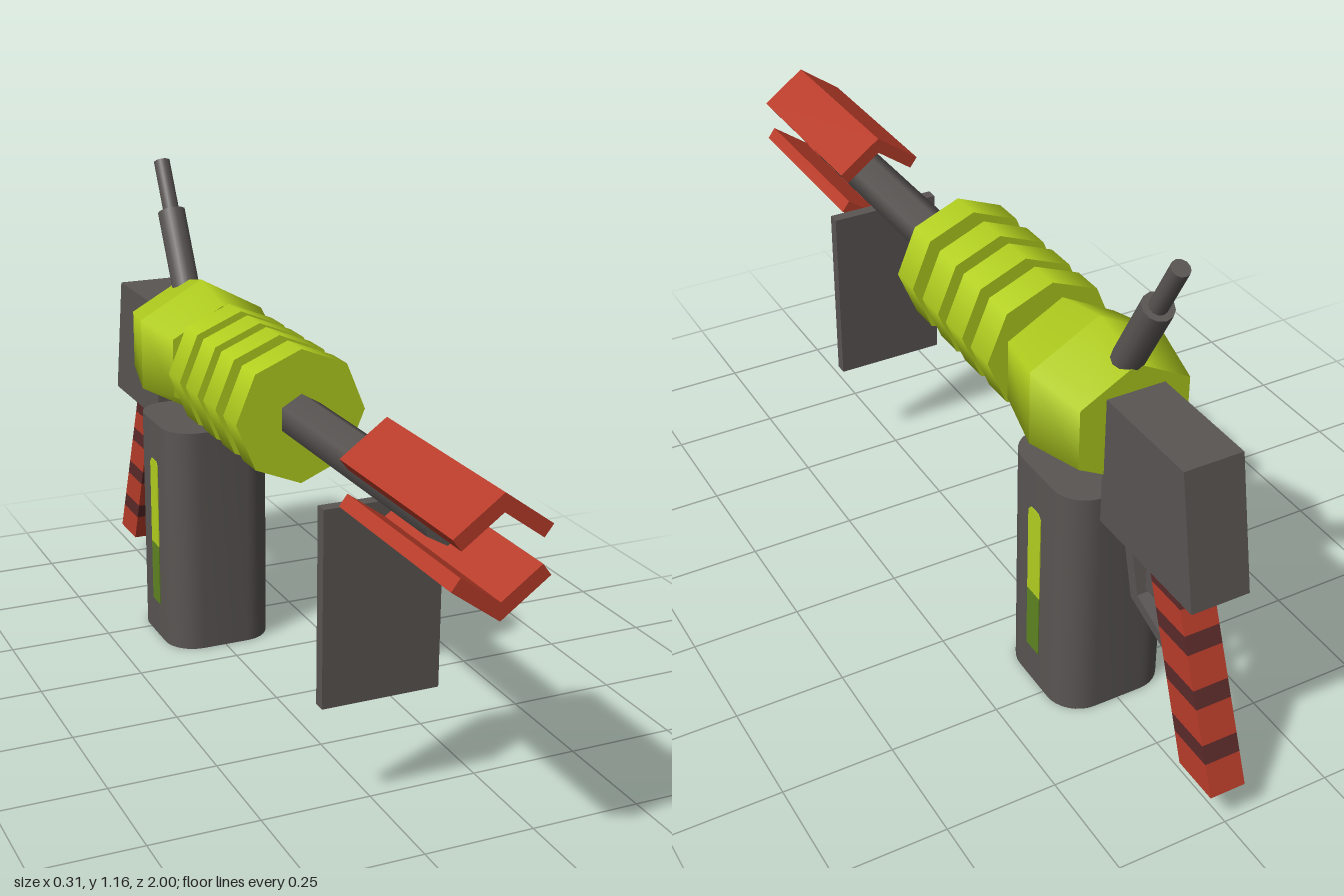
import * as THREE from 'three';
import { toCreasedNormals } from 'three/addons/utils/BufferGeometryUtils.js';

const AXIS_Y = 0.735; // height of the barrel axis

function makeMaterial(name, color) {
  const m = new THREE.MeshStandardMaterial({ color });
  m.name = name;
  return m;
}

export function createModel() {
  const model = new THREE.Group();
  model.name = 'pumpBlaster';
  const grey = makeMaterial('darkGrey', 0x595553);
  const lime = makeMaterial('lime', 0xb3d01f);
  const red = makeMaterial('red', 0xb83c2a);
  const maroon = makeMaterial('maroon', 0x5c2a2a);
  const green = makeMaterial('darkGreen', 0x5f8422);

  function add(parent, name, geometry, material) {
    const mesh = new THREE.Mesh(geometry, material);
    mesh.name = name;
    parent.add(mesh);
    return mesh;
  }
  function addGroup(name) {
    const g = new THREE.Group();
    g.name = name;
    model.add(g);
    return g;
  }
  // Prism along the barrel axis, from zBack to zFront
  function axial(rFront, rBack, zBack, zFront, sides) {
    return new THREE.CylinderGeometry(rFront, rBack, zFront - zBack, sides)
      .rotateX(Math.PI / 2).translate(0, AXIS_Y, (zFront + zBack) / 2);
  }
  const shapeOf = (pts) => new THREE.Shape(pts.map(([a, b]) => new THREE.Vector2(a, b)));
  // Side outline given as [z, y], extruded across x
  function sidePlate(pts, width) {
    return new THREE.ExtrudeGeometry(shapeOf(pts), { depth: width, bevelEnabled: false })
      .translate(0, 0, -width / 2).rotateY(-Math.PI / 2);
  }

  // Barrel, pump rings and bulging body
  add(model, 'barrel', axial(0.052, 0.052, -0.4, 0.8, 6), grey);
  const rings = addGroup('rings');
  for (const z of [0.098, -0.022, -0.132, -0.244]) {
    add(rings, 'ring', axial(0.152, 0.152, z - 0.037, z + 0.037, 8), lime);
  }
  const body = addGroup('body');
  add(body, 'bodyFront', axial(0.138, 0.17, -0.46, -0.32, 6), lime);
  add(body, 'bodyBack', axial(0.17, 0.138, -0.603, -0.46, 6), lime);
  body.scale.x = 1.055;

  // Muzzle: two facing chevron rails
  const muzzle = addGroup('muzzle');
  for (const s of [1, -1]) {
    const pts = [[0, 0.122], [-0.101, 0.049], [-0.083, 0.025], [0, 0.085], [0.083, 0.025], [0.101, 0.049]]
      .map(([x, y]) => [x, AXIS_Y + s * y]);
    add(muzzle, s > 0 ? 'upperRail' : 'lowerRail',
      new THREE.ExtrudeGeometry(shapeOf(pts), { depth: 0.458, bevelEnabled: false }).translate(0, 0, 0.542), red);
  }

  // Flat front handle plate
  add(model, 'frontPlate', new THREE.BoxGeometry(0.266, 0.433, 0.028).translate(0, 0.4665, 0.527), grey);

  // Tank with rounded corners
  const hx = 0.133, hz = 0.135, r = 0.075;
  const outline = new THREE.Shape();
  outline.absarc(hx - r, hz - r, r, 0, Math.PI / 2);
  outline.absarc(-hx + r, hz - r, r, Math.PI / 2, Math.PI);
  outline.absarc(-hx + r, -hz + r, r, Math.PI, Math.PI * 1.5);
  outline.absarc(hx - r, -hz + r, r, Math.PI * 1.5, Math.PI * 2);
  const tank = new THREE.ExtrudeGeometry(outline, { depth: 0.565, bevelEnabled: false, curveSegments: 4 })
    .rotateX(-Math.PI / 2).translate(0, 0, -0.457);
  add(model, 'tank', toCreasedNormals(tank, 0.7), grey);

  // Level gauges on both sides of the tank
  const gauges = addGroup('gauges');
  for (const s of [1, -1]) {
    const empty = sidePlate([[-0.477, 0.245], [-0.427, 0.245], [-0.427, 0.455], [-0.437, 0.467], [-0.467, 0.467], [-0.477, 0.455]], 0.006);
    const full = sidePlate([[-0.477, 0.09], [-0.427, 0.09], [-0.427, 0.245], [-0.477, 0.245]], 0.006);
    add(gauges, 'gaugeTop', empty, lime).position.x = s * 0.132;
    add(gauges, 'gaugeLiquid', full, green).position.x = s * 0.132;
  }

  // Rear housing
  add(model, 'rearHousing', sidePlate([[-0.597, 0.515], [-0.597, 0.812], [-0.868, 0.812], [-0.924, 0.515]], 0.134), grey);

  // Slanted grip cut into red and maroon bands
  const grip = addGroup('grip');
  const cuts = [0.515, 0.497, 0.462, 0.41, 0.372, 0.302, 0.264, 0.192, 0.154, 0.086];
  const front = (y) => -0.733 - (0.515 - y) * 0.363;
  const back = (y) => -0.832 - (0.515 - y) * 0.391;
  for (let i = 0; i < cuts.length - 1; i++) {
    const a = cuts[i], b = cuts[i + 1];
    add(grip, i % 2 ? 'gripStripe' : 'gripBand',
      sidePlate([[front(a), a], [back(a), a], [back(b), b], [front(b), b]], 0.082), i % 2 ? maroon : red);
  }

  // Trigger and its guard
  add(model, 'trigger', new THREE.BoxGeometry(0.03, 0.13, 0.03).translate(0, 0.454, -0.71), grey);
  add(model, 'triggerGuard', sidePlate([[-0.603, 0.52], [-0.652, 0.338], [-0.822, 0.276], [-0.81, 0.305],
    [-0.675, 0.358], [-0.63, 0.52]], 0.04), grey);

  // Two-step rear antenna, leaning backwards
  const antenna = addGroup('antenna');
  add(antenna, 'antennaBase', new THREE.CylinderGeometry(0.034, 0.034, 0.25, 12).translate(0, 0.125, 0), grey);
  add(antenna, 'antennaTip', new THREE.CylinderGeometry(0.02, 0.02, 0.13, 12).translate(0, 0.315, 0), grey);
  antenna.position.set(0, 0.815, -0.54);
  antenna.rotation.x = -0.505;

  return model;
}
